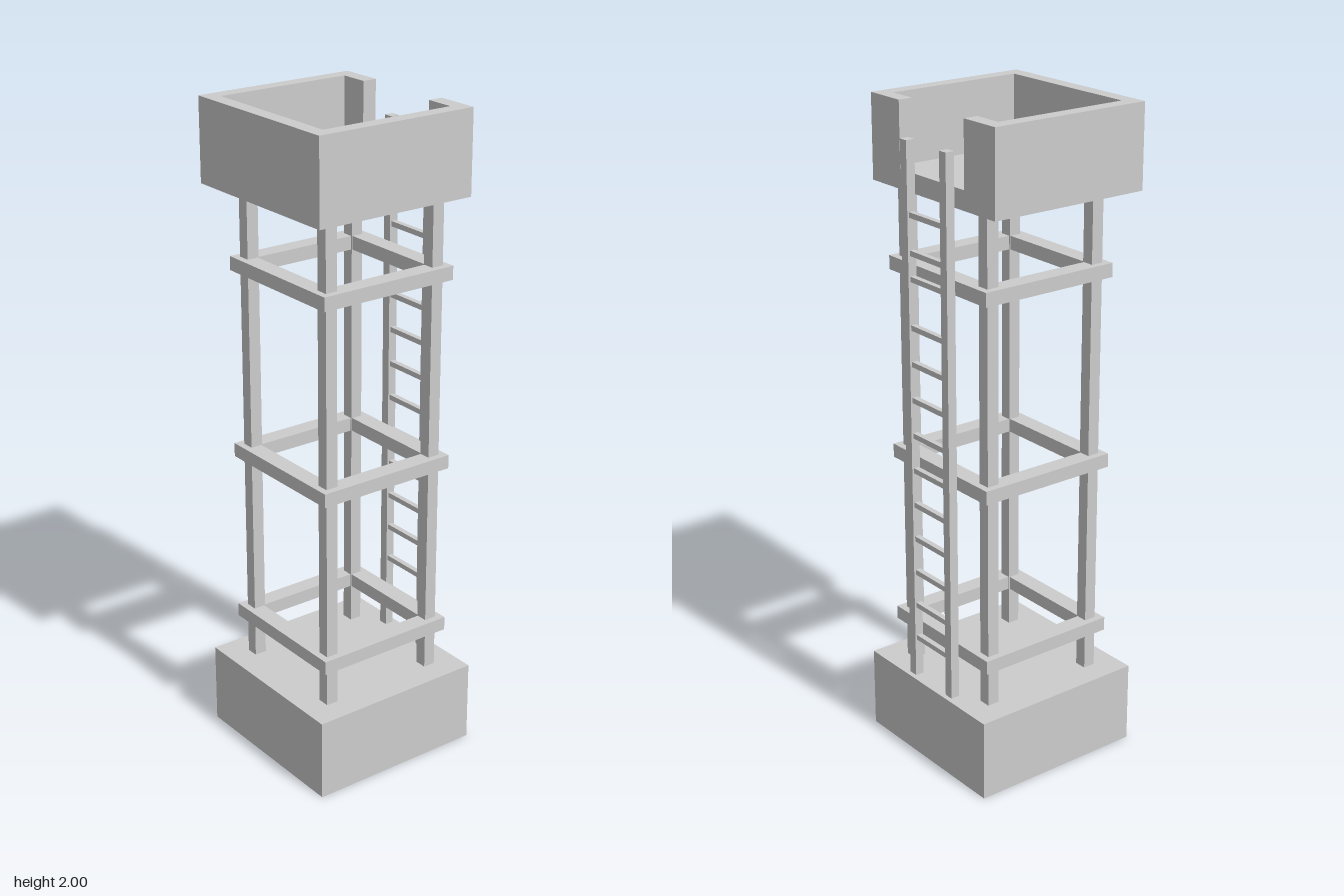
import * as THREE from 'three';

export function createModel() {
  const model = new THREE.Group();
  model.name = 'watchtower';
  const grey = new THREE.MeshStandardMaterial({ color: 0xcccccc, side: THREE.DoubleSide });
  grey.name = 'plain grey';

  const add = (name, geometry, parent = model) => {
    const mesh = new THREE.Mesh(geometry, grey);
    mesh.name = name;
    parent.add(mesh);
    return mesh;
  };

  // Box given by its limits on each axis
  const span = (x0, x1, y0, y1, z0, z1) =>
    new THREE.BoxGeometry(x1 - x0, y1 - y0, z1 - z0)
      .translate((x0 + x1) / 2, (y0 + y1) / 2, (z0 + z1) / 2);

  // Thin-walled box with no underside
  const openBox = (...limits) => {
    const g = span(...limits);
    const index = Array.from(g.index.array);
    index.splice(18, 6);
    g.setIndex(index);
    g.clearGroups();
    return g;
  };

  // Plan outline (x, z) raised from y0 to y1
  const raise = (points, hole, y0, y1) => {
    const toPlan = (list) => list.map(([x, z]) => new THREE.Vector2(x, -z));
    const shape = new THREE.Shape(toPlan(points));
    if (hole) shape.holes.push(new THREE.Path(toPlan(hole)));
    return new THREE.ExtrudeGeometry(shape, { depth: y1 - y0, bevelEnabled: false })
      .rotateX(-Math.PI / 2).translate(0, y0, 0);
  };
  const rect = (x, z0, z1) => [[-x, z1], [x, z1], [x, z0], [-x, z0]];

  const W = 0.281;

  // Hollow base
  add('base', openBox(-W, W, 0, 0.252, -W, W));

  // Four corner posts
  const posts = new THREE.Group();
  posts.name = 'posts';
  model.add(posts);
  for (const x of [-0.186, 0.186])
    for (const z of [-0.186, 0.186])
      add('post', span(x - 0.019, x + 0.019, 0.252, 1.79, z - 0.019, z + 0.019), posts);

  // Square frames around the posts
  for (const y of [0.394, 0.935, 1.518])
    add('braceFrame', raise(rect(0.226, -0.226, 0.226), rect(0.17, -0.17, 0.17), y - 0.021, y + 0.021));

  // Cabin: floor with skirt, sill, and walls with a gap at the back
  const back = -0.237, inner = 0.236, innerBack = -0.192, gap = 0.147;
  const floor = 1.79, sill = 1.807;
  add('cabinFloor', openBox(-W, W, 1.75, floor, back, W));
  add('cabinSill', raise(rect(W, back, W), rect(inner, innerBack, inner), floor, sill));
  add('cabinWalls', raise([
    [-gap, back], [-W, back], [-W, W], [W, W], [W, back], [gap, back],
    [gap, innerBack], [inner, innerBack], [inner, inner],
    [-inner, inner], [-inner, innerBack], [-gap, innerBack],
  ], null, sill, 2));

  // Ladder up the back
  const ladder = new THREE.Group();
  ladder.name = 'ladder';
  model.add(ladder);
  for (const x of [-0.09, 0.09])
    add('ladderRail', span(x - 0.0145, x + 0.0145, 0.252, 1.905, -0.266, -0.238), ladder);
  for (let i = 0; i < 13; i++) {
    const y = i === 10 ? 1.51 : 0.38 + i * 0.1096;
    add('ladderRung', span(-0.08, 0.08, y - 0.008, y + 0.008, -0.26, -0.243), ladder);
  }

  return model;
}
